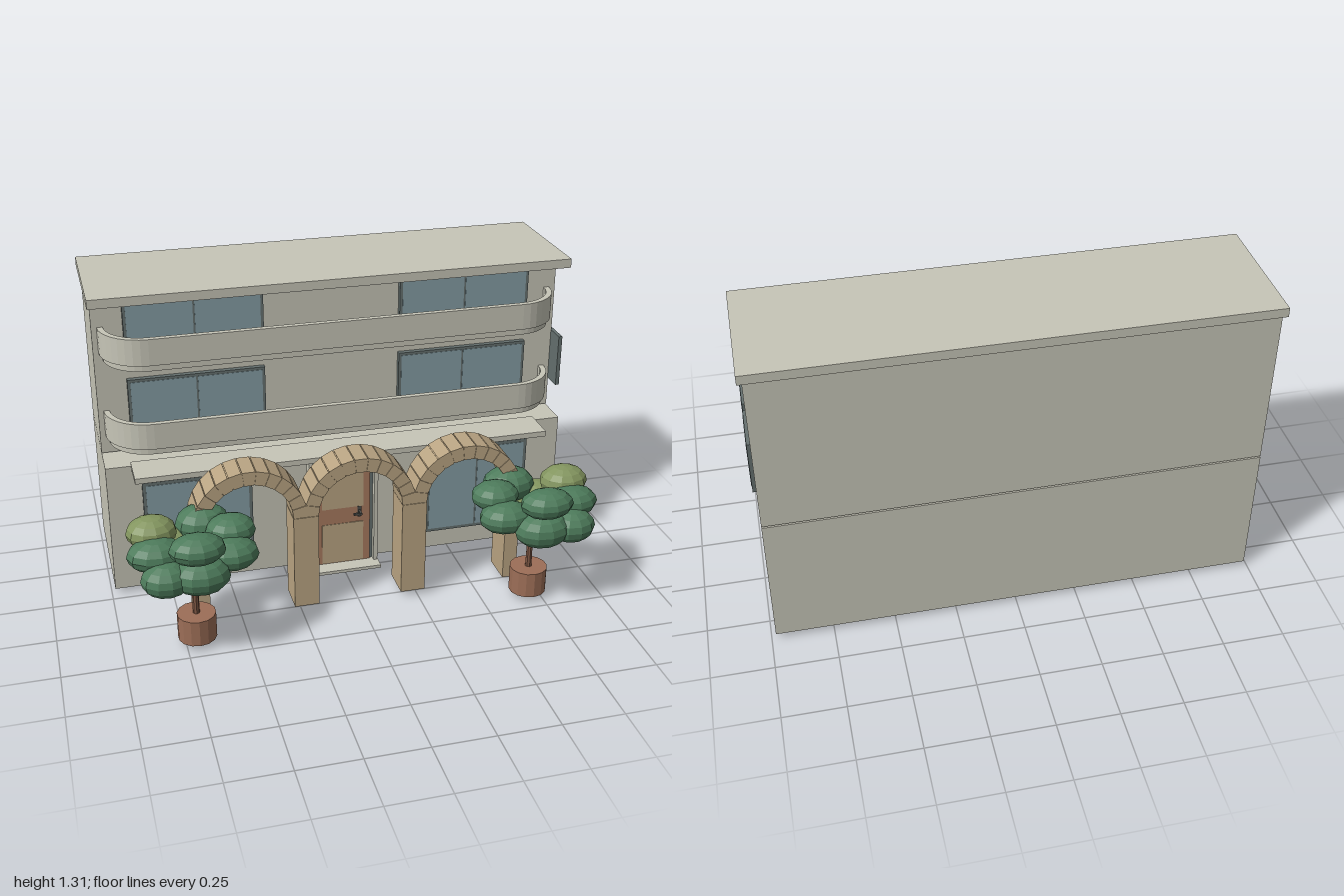
import * as THREE from 'three';

const mat = (name, color, extra = {}) => {
  const m = new THREE.MeshStandardMaterial({ color, ...extra });
  m.name = name;
  return m;
};

export function createModel() {
  const wall = mat('stucco', 0xc6c5b7);
  const glass = mat('glass', 0x849da4);
  const frame = mat('windowFrame', 0x65706f);
  const stone = mat('stone', 0xbaa583, { flatShading: true });
  const wood = mat('doorWood', 0xa87a60);
  const clay = mat('clay', 0x9c6e57, { flatShading: true });
  const bark = mat('bark', 0x7d5744, { flatShading: true });
  const leaf = mat('leaf', 0x4d7b5b, { flatShading: true });
  const olive = mat('oliveLeaf', 0x83955f, { flatShading: true });
  const metal = mat('metal', 0x4c4d4a);

  const model = new THREE.Group();
  model.name = 'building';
  const add = (name, geo, material, parent = model) => {
    const m = new THREE.Mesh(geo, material);
    m.name = name;
    parent.add(m);
    return m;
  };
  // Box given by its lower and upper limits on each axis
  const box = (name, x0, x1, y0, y1, z0, z1, material, parent) => {
    const m = add(name, new THREE.BoxGeometry(x1 - x0, y1 - y0, z1 - z0), material, parent);
    m.position.set((x0 + x1) / 2, (y0 + y1) / 2, (z0 + z1) / 2);
    return m;
  };

  // Main masses
  box('groundFloor', -0.985, 0.982, 0.025, 0.595, -0.6, -0.038, wall);
  box('upperFloors', -0.985, 0.982, 0.6, 1.27, -0.598, -0.178, wall);
  box('floorJoint', -0.975, 0.972, 0.59, 0.605, -0.59, -0.19, wall);
  box('roof', -1, 1, 1.27, 1.308, -0.614, -0.066, wall);
  box('canopy', -0.88, 0.87, 0.577, 0.601, -0.065, 0.092, wall);

  // Rounded balconies: a hollow parapet over a slightly smaller slab
  const back = -0.18;
  const balconyOutline = (inset) => {
    const r = 0.182 - inset, x0 = -0.963 + inset, x1 = 0.955 - inset;
    const pts = [];
    for (let i = 0; i <= 9; i++) {
      const a = (i / 9) * Math.PI / 2;
      pts.push(new THREE.Vector2(x1 - r + r * Math.cos(a), back + r * Math.sin(a)));
    }
    for (let i = 0; i <= 9; i++) {
      const a = (1 + i / 9) * Math.PI / 2;
      pts.push(new THREE.Vector2(x0 + r + r * Math.cos(a), back + r * Math.sin(a)));
    }
    return pts;
  };
  const slabFrom = (name, pts, y0, y1) => {
    const geo = new THREE.ExtrudeGeometry(new THREE.Shape(pts), { depth: y1 - y0, bevelEnabled: false });
    geo.rotateX(Math.PI / 2);
    add(name, geo, wall).position.y = y1;
  };
  for (const y of [0.65, 1.013]) {
    slabFrom('balconySlab', balconyOutline(0.014), y, y + 0.03);
    slabFrom('balconyParapet', [...balconyOutline(0), ...balconyOutline(0.024).reverse()], y + 0.028, y + 0.139);
  }

  // Windows: a frame box with thin glass panes on its face
  const makeWindow = (name, w, h, depth, panes, rim) => {
    const g = new THREE.Group();
    g.name = name;
    box('frame', -w / 2, w / 2, -h / 2, h / 2, 0, depth, frame, g);
    const pw = (w - rim * 2 - (panes - 1) * 0.008) / panes;
    for (let i = 0; i < panes; i++) {
      const x = -w / 2 + rim + i * (pw + 0.008);
      box('pane', x, x + pw, -h / 2 + rim, h / 2 - rim, depth - 0.002, depth + 0.002, glass, g);
    }
    model.add(g);
    return g;
  };
  for (const x of [-0.577, 0.567]) {
    makeWindow('middleWindow', 0.567, 0.24, 0.022, 2, 0.012).position.set(x, 0.802, -0.178);
    makeWindow('topWindow', 0.567, 0.24, 0.022, 2, 0.012).position.set(x, 1.155, -0.178);
  }
  for (const x of [-0.615, 0.607])
    makeWindow('groundWindow', 0.455, 0.405, 0.014, 2, 0.014).position.set(x, 0.313, -0.038);
  for (const z of [-0.193, -0.44]) {
    const w = makeWindow('sideWindow', 0.207, 0.225, 0.016, 1, 0.015);
    w.rotation.y = Math.PI / 2;
    w.position.set(0.98, 0.84, z);
  }

  // Entrance
  box('doorFrame', -0.145, 0.14, 0.003, 0.565, -0.04, 0, frame);
  box('doorPostRight', -0.155, -0.14, 0.025, 0.577, -0.02, 0.025, wall);
  box('doorPostLeft', 0.13, 0.147, 0.025, 0.577, -0.02, 0.025, wall);
  box('door', -0.118, 0.116, 0.035, 0.558, -0.002, 0.008, wood);
  box('doorUpperPanel', -0.096, 0.086, 0.305, 0.475, 0.007, 0.012, stone);
  box('doorLowerPanel', -0.096, 0.086, 0.04, 0.23, 0.007, 0.012, stone);
  box('doorMiddlePanel', -0.096, 0.035, 0.23, 0.305, 0.007, 0.01, wood);
  box('handlePlate', 0.06, 0.076, 0.255, 0.305, 0.008, 0.014, metal);
  box('handleStem', 0.063, 0.072, 0.28, 0.289, 0.012, 0.05, metal);
  box('handleLever', 0.035, 0.072, 0.28, 0.289, 0.038, 0.047, metal);
  box('doorStep', -0.157, 0.15, 0.022, 0.036, -0.036, 0.075, wall);
  box('stepBase', -0.12, 0.118, 0, 0.022, -0.02, 0.025, frame);

  // Arcade: pillars and rings of wedge stones
  const spring = 0.44, rIn = 0.176, rOut = 0.235, z0 = 0.15, z1 = 0.287;
  for (const s of [-1, 1]) {
    box('innerPillar', s * 0.228 - 0.052, s * 0.228 + 0.052, 0.025, spring, z0, z1, stone);
    box('outerPillar', s * 0.66 - 0.03, s * 0.66 + 0.03, 0.025, spring, z0, z1, stone);
  }
  const stones = 13, step = Math.PI / stones, gap = 0.008;
  const wedge = new THREE.Shape([[rIn, gap], [rOut, gap], [rOut, step - gap], [rIn, step - gap]]
    .map(([r, a]) => new THREE.Vector2(r * Math.cos(a), r * Math.sin(a))));
  const wedgeGeo = new THREE.ExtrudeGeometry(wedge, { depth: z1 - z0, bevelEnabled: false });
  const core = new THREE.Shape();
  core.absarc(0, 0, rOut - 0.004, 0, Math.PI, false);
  core.absarc(0, 0, rIn + 0.003, Math.PI, 0, true);
  const coreGeo = new THREE.ExtrudeGeometry(core, { depth: z1 - z0 - 0.006, bevelEnabled: false, curveSegments: 13 });
  for (const x of [-0.455, 0, 0.455]) {
    const arch = new THREE.Group();
    arch.name = 'arch';
    arch.position.set(x, spring, z0);
    model.add(arch);
    add('mortar', coreGeo, stone, arch).position.z = 0.003;
    for (let i = 0; i < stones; i++) add('archStone', wedgeGeo, stone, arch).rotation.z = i * step;
  }

  // Potted trees; blobs are [outward, y, z, rx, ry, rz, material]
  const blobs = [
    [0.0, 0.505, 0.14, 0.11, 0.06, 0.08, leaf],
    [0.145, 0.445, 0.04, 0.115, 0.065, 0.085, leaf],
    [-0.14, 0.42, 0.06, 0.11, 0.065, 0.085, leaf],
    [0.12, 0.38, 0.12, 0.1, 0.07, 0.085, leaf],
    [-0.01, 0.385, 0.135, 0.115, 0.075, 0.085, leaf],
    [0.15, 0.495, -0.05, 0.1, 0.065, 0.085, olive],
    [0.07, 0.385, -0.125, 0.11, 0.075, 0.095, olive],
    [-0.06, 0.465, -0.13, 0.11, 0.075, 0.09, leaf],
    [-0.155, 0.475, -0.03, 0.1, 0.06, 0.085, leaf],
  ];
  const ball = new THREE.SphereGeometry(1, 11, 8);
  for (const s of [-1, 1]) {
    const tree = new THREE.Group();
    tree.name = 'pottedTree';
    tree.position.set(s * 0.702, 0, 0.388);
    model.add(tree);
    add('pot', new THREE.CylinderGeometry(0.078, 0.078, 0.11, 14), clay, tree).position.y = 0.08;
    add('trunk', new THREE.CylinderGeometry(0.011, 0.014, 0.27, 8), bark, tree).position.y = 0.265;
    for (let i = 0; i < 5; i++) {
      const a = i * Math.PI * 0.4;
      const path = new THREE.LineCurve3(new THREE.Vector3(0, 0.3, 0),
        new THREE.Vector3(0.08 * Math.cos(a), 0.42, 0.08 * Math.sin(a)));
      add('branch', new THREE.TubeGeometry(path, 1, 0.006, 5), bark, tree);
    }
    for (const [o, y, z, rx, ry, rz, m] of blobs) {
      const b = add('foliage', ball, m, tree);
      b.position.set(s * o, y, z);
      b.scale.set(rx, ry, rz);
    }
  }
  return model;
}
